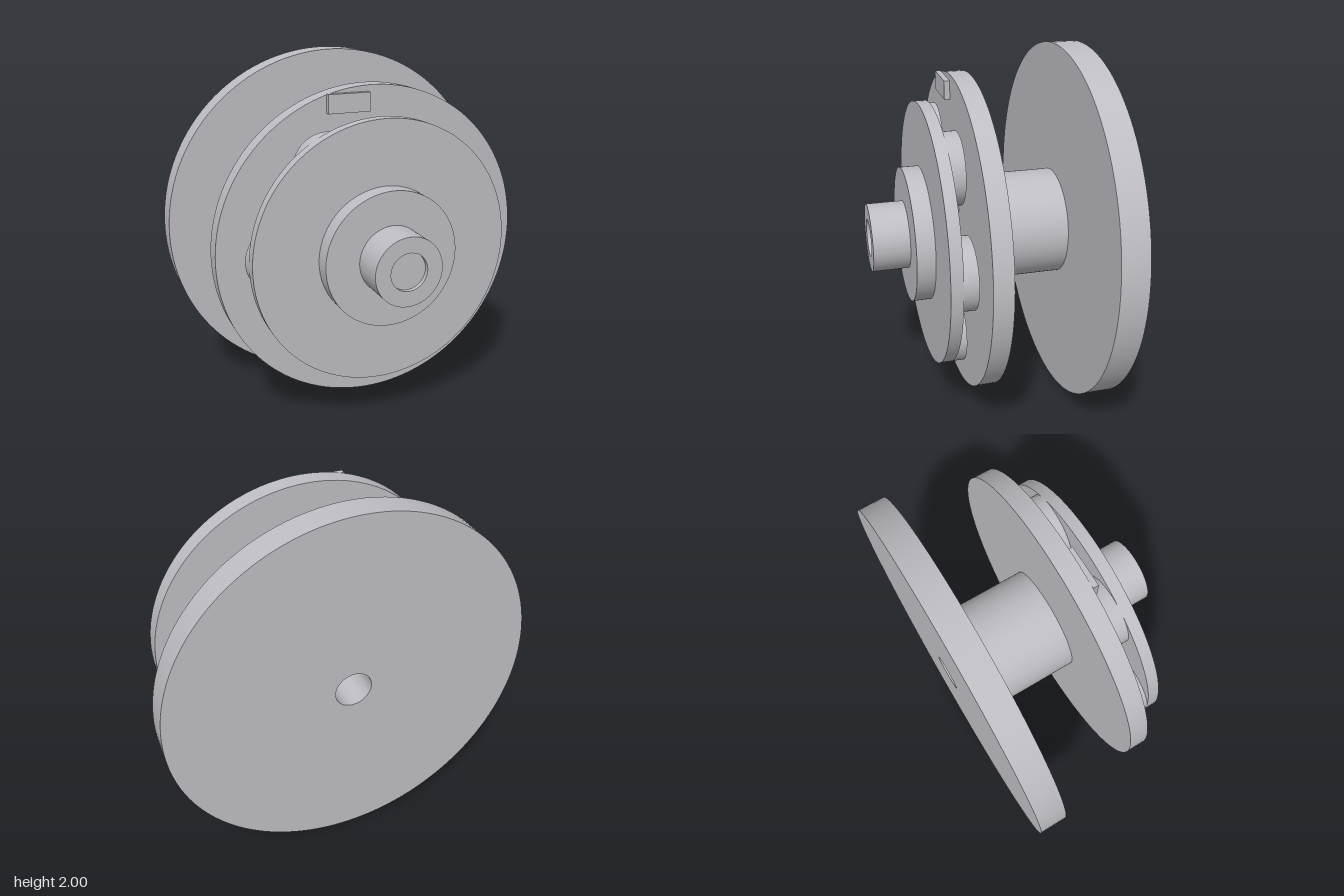
import * as THREE from 'three';
import { toCreasedNormals } from 'three/addons/utils/BufferGeometryUtils.js';

const metal = new THREE.MeshStandardMaterial({ color: 0xbfbec4 });
metal.name = 'grey metal';

// Solid of revolution about the z axis from [radius, z] points
function turned(name, points, segments = 96) {
  const profile = points.map(([r, z]) => new THREE.Vector2(r, z));
  const geometry = new THREE.LatheGeometry(profile, segments).rotateX(Math.PI / 2);
  const mesh = new THREE.Mesh(toCreasedNormals(geometry, Math.PI / 6), metal);
  mesh.name = name;
  return mesh;
}

const cylinder = (name, r, z0, z1, segments = 64) =>
  turned(name, [[0, z0], [r, z0], [r, z1], [0, z1]], segments);

// Evenly spaced copies of a cylinder around the axis
function ringOf(name, count, start, ringRadius, r, z0, z1) {
  const group = new THREE.Group();
  group.name = name + 's';
  for (let i = 0; i < count; i++) {
    const a = start + (i / count) * Math.PI * 2;
    const part = cylinder(name, r, z0, z1);
    part.position.set(Math.cos(a) * ringRadius, Math.sin(a) * ringRadius, 0);
    group.add(part);
  }
  return group;
}

export function createModel() {
  const model = new THREE.Group();
  model.name = 'flanged coupling';
  const axis = new THREE.Group();
  axis.name = 'axis';
  axis.position.y = 1;
  model.add(axis);

  // Rear half: large disc, hub and second disc with a bore from the back
  axis.add(turned('rearSpool', [
    [0.1, -0.6], [1, -0.6], [1, -0.45], [0.295, -0.45], [0.295, 0.025],
    [0.873, 0.025], [0.873, 0.13], [0.1, 0.13], [0.1, -0.6],
  ], 128));

  // Small pins and key on the face of the second disc
  axis.add(ringOf('facePin', 3, Math.PI / 3, 0.197, 0.07, 0.13, 0.175));
  const key = new THREE.Mesh(new THREE.BoxGeometry(0.23, 0.1, 0.03), metal);
  key.name = 'key';
  key.position.set(-0.14, 0.79, 0.145);
  axis.add(key);

  // Front half: plate, boss and shaft with a shallow recess in its end
  axis.add(turned('frontPlate', [
    [0, 0.235], [0.725, 0.235], [0.725, 0.3], [0.372, 0.3], [0.372, 0.4],
    [0.187, 0.4], [0.187, 0.6], [0.102, 0.6], [0.102, 0.575], [0, 0.575],
  ], 128));

  // Rollers behind the front plate
  axis.add(ringOf('roller', 6, 0, 0.535, 0.19, 0.157, 0.235));
  axis.add(cylinder('centreRoller', 0.19, 0.157, 0.235));

  return model;
}
